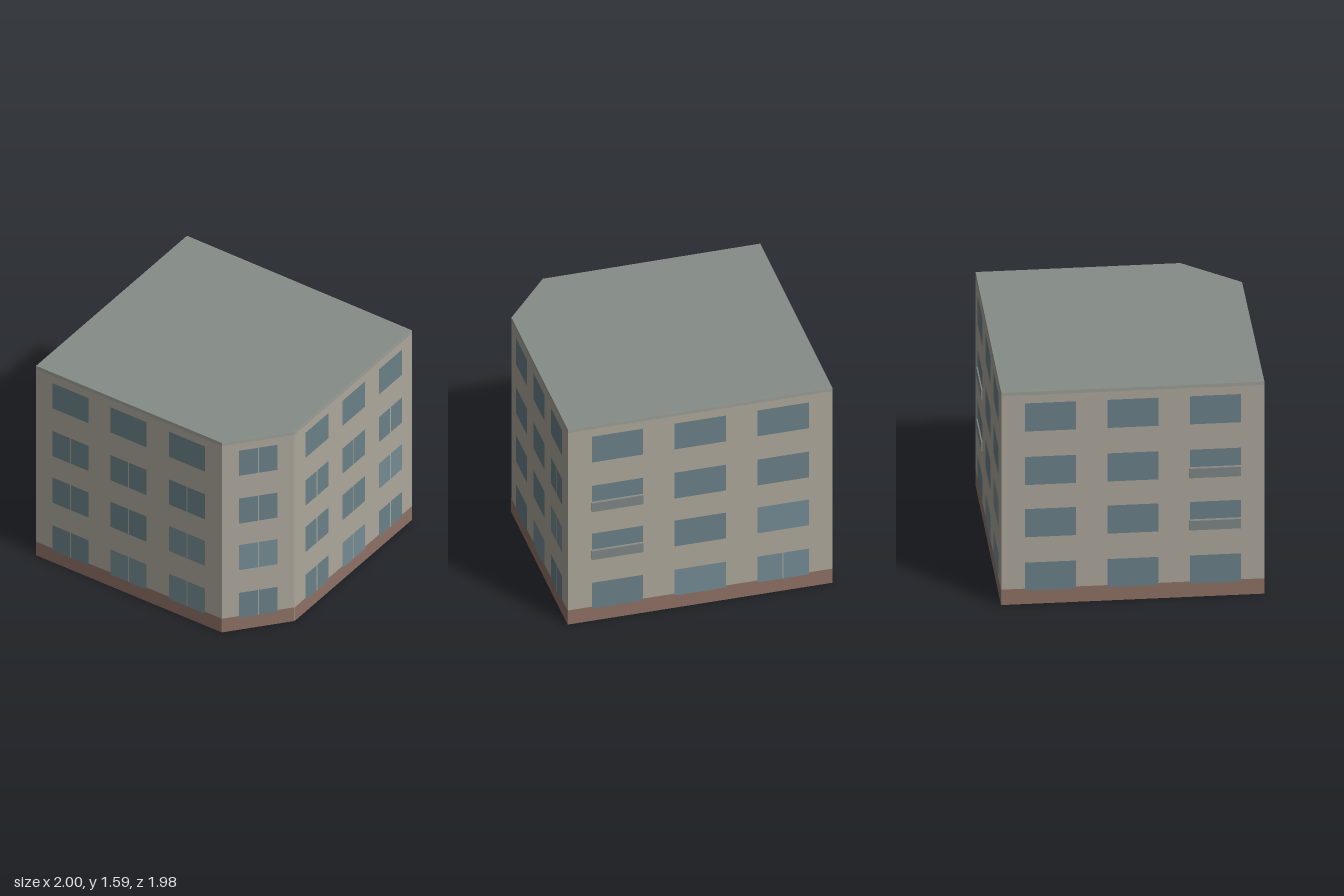
import * as THREE from 'three';

const HEIGHT = 1.585, BAND = 0.115, FASCIA = 0.025;
const paint = (color, side = THREE.FrontSide) => new THREE.MeshStandardMaterial({ color, side });

const wallMat = paint(0xaca79b, THREE.DoubleSide);
const roofMat = paint(0x858d89, THREE.DoubleSide);
const fasciaMat = paint(0x9b9e96);
const bandMat = paint(0x8e7165);
const glassMat = paint(0x6a8088);
const paleGlassMat = paint(0x748b93);
const railMat = paint(0x7f8685);

// Footprint corners [x, z], counter-clockwise from above, starting front right
const corners = [[-0.785, 0.985], [0.72, 0.8], [0.998, 0.38], [0.83, -0.99], [-1, -0.775]];
const sills = [0.1, 0.5, 0.89, 1.29];
const WINDOW_H = 0.21;

// Each facade: window centres as fractions of the wall, window width fraction,
// and lists of "row,column" with a split pane, pale glass or a balcony
const threeByThree = ['0,0', '0,1', '0,2', '1,0', '1,1', '1,2', '2,0', '2,1', '2,2'];
const three = [0.187, 0.5, 0.813];
const facades = [
  { name: 'frontWall', cols: three, w: 0.194, split: threeByThree, pale: ['0,1', '0,2', '1,2'], balcony: [] },
  { name: 'cornerWall', cols: [0.5], w: 0.53, split: ['0,0', '1,0', '2,0', '3,0'], pale: ['1,0'], balcony: [] },
  { name: 'leftWall', cols: three, w: 0.194, split: threeByThree, pale: ['0,1', '1,2'], balcony: [] },
  { name: 'backWall', cols: three, w: 0.194, split: ['0,2'], pale: ['0,1', '0,2', '1,2'], balcony: ['1,0', '2,0'] },
  { name: 'rightWall', cols: three, w: 0.194, split: [], pale: [], balcony: ['1,2', '2,2'] },
];

// Flat rectangle standing on a wall: x0..x1 along it, y0..y1 up, z outwards
function panel(name, mat, x0, x1, y0, y1, z) {
  const mesh = new THREE.Mesh(new THREE.PlaneGeometry(x1 - x0, y1 - y0), mat);
  mesh.position.set((x0 + x1) / 2, (y0 + y1) / 2, z);
  mesh.name = name;
  return mesh;
}

function addWindow(wall, x0, x1, sill, split, pale, balcony) {
  const mat = pale ? paleGlassMat : glassMat;
  const top = sill + WINDOW_H;
  if (balcony) {
    // Shortened glass above a thin railing panel standing off the wall
    wall.add(panel('window', mat, x0, x1, sill + 0.08, top, 0.004));
    const rail = new THREE.Mesh(new THREE.BoxGeometry(x1 - x0, 0.07, 0.01), railMat);
    rail.position.set((x0 + x1) / 2, sill + 0.035, 0.006);
    rail.name = 'balconyRail';
    wall.add(rail);
  } else if (split) {
    const mid = (x0 + x1) / 2, gap = 0.004;
    wall.add(panel('windowPane', mat, x0, mid - gap, sill, top, 0.004));
    wall.add(panel('windowPane', mat, mid + gap, x1, sill, top, 0.004));
    wall.add(panel('mullion', wallMat, mid - gap, mid + gap, sill, top, 0.004));
  } else {
    wall.add(panel('window', mat, x0, x1, sill, top, 0.004));
  }
}

function makeWall(f, a, b) {
  const wall = new THREE.Group();
  wall.name = f.name;
  const dx = b[0] - a[0], dz = b[1] - a[1], len = Math.hypot(dx, dz);
  wall.position.set(a[0], 0, a[1]);
  wall.rotation.y = Math.atan2(-dz, dx);
  wall.add(panel('wallSurface', wallMat, 0, len, 0, HEIGHT, 0));
  wall.add(panel('plinthBand', bandMat, 0, len, 0, BAND, 0.002));
  wall.add(panel('roofFascia', fasciaMat, 0, len, HEIGHT - FASCIA, HEIGHT, 0.002));
  f.cols.forEach((u, c) => sills.forEach((sill, r) => {
    const key = `${r},${c}`, half = f.w / 2;
    addWindow(wall, (u - half) * len, (u + half) * len, sill,
      f.split.includes(key), f.pale.includes(key), f.balcony.includes(key));
  }));
  return wall;
}

export function createModel() {
  const building = new THREE.Group();
  building.name = 'apartmentBlock';
  facades.forEach((f, i) => building.add(makeWall(f, corners[i], corners[(i + 1) % corners.length])));

  // Flat roof; the underside of the block stays open
  const outline = new THREE.Shape(corners.map(([x, z]) => new THREE.Vector2(x, -z)));
  const roof = new THREE.Mesh(new THREE.ShapeGeometry(outline).rotateX(-Math.PI / 2), roofMat);
  roof.position.y = HEIGHT;
  roof.name = 'roof';
  building.add(roof);
  return building;
}
